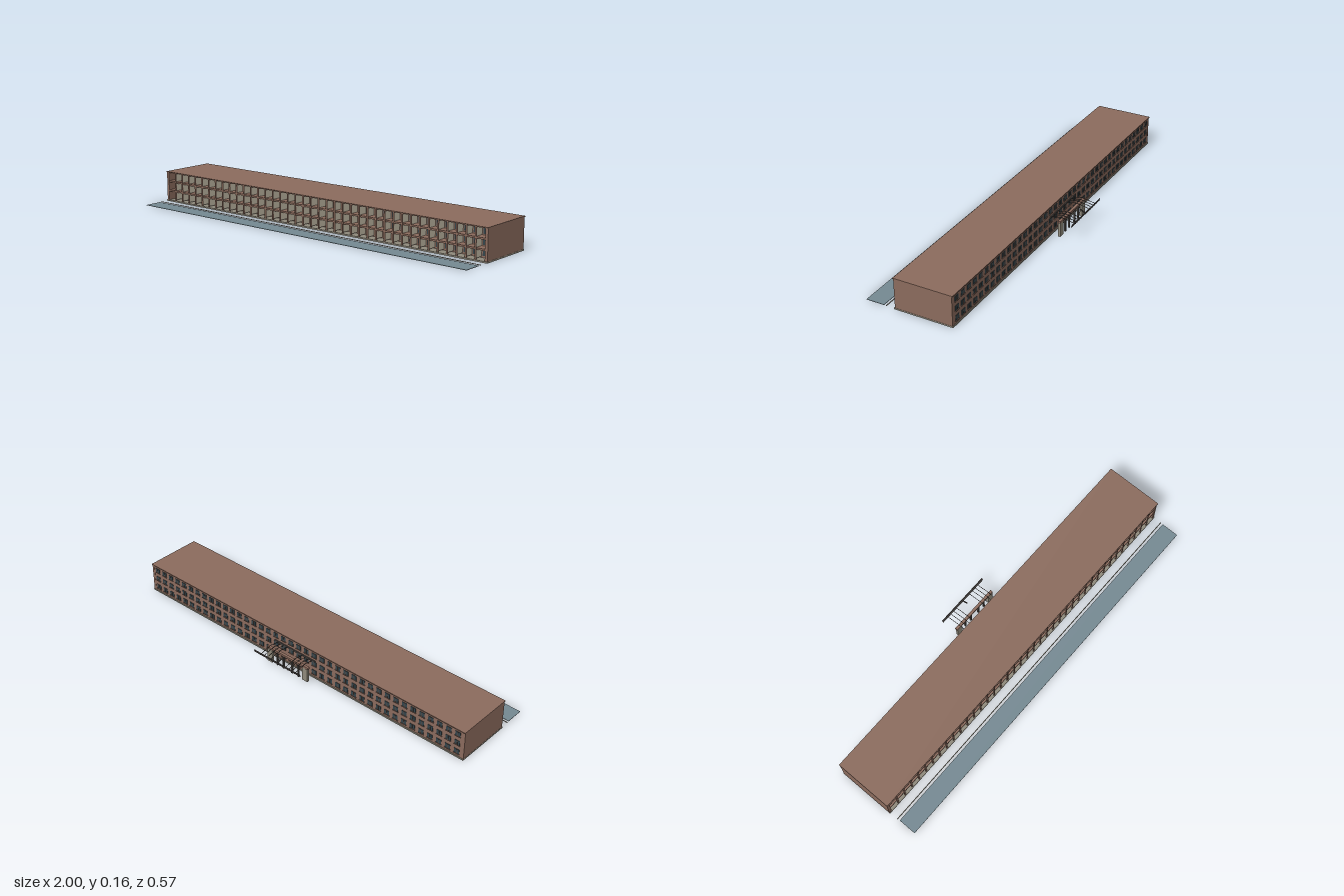
import * as THREE from 'three';
import { mergeGeometries } from 'three/addons/utils/BufferGeometryUtils.js';

const mat = (name, color) => {
  const m = new THREE.MeshStandardMaterial({ color });
  m.name = name;
  return m;
};

// box given by its min and max corners
const box = (x0, x1, y0, y1, z0, z1) =>
  new THREE.BoxGeometry(x1 - x0, y1 - y0, z1 - z0)
    .translate((x0 + x1) / 2, (y0 + y1) / 2, (z0 + z1) / 2);

// thin bar between two points in the y-z plane
const bar = (x, w, t, y0, z0, y1, z1) =>
  new THREE.BoxGeometry(w, t, Math.hypot(y1 - y0, z1 - z0))
    .rotateX(-Math.atan2(y1 - y0, z1 - z0))
    .translate(x, (y0 + y1) / 2, (z0 + z1) / 2);

export function createModel() {
  const group = new THREE.Group();
  const brick = mat('brick brown', 0x8b6b5d);
  const stone = mat('stone grey', 0x8f897b);
  const panel = mat('pale panel', 0xc2baa6);
  const glass = mat('dark glass', 0x34444a);
  const water = mat('water', 0x758992);
  const steel = mat('dark steel', 0x4b4643);
  const frame = mat('window frame', 0x5c4a42);
  const add = (name, material, geos) => {
    const m = new THREE.Mesh(geos.length > 1 ? mergeGeometries(geos) : geos[0], material);
    m.name = name;
    group.add(m);
  };

  // main volume with a recessed front
  add('plinth', stone, [box(-1, 1, 0, 0.007, -0.161, 0.137)]);
  add('body', brick, [box(-0.997, 0.997, 0.007, 0.153, -0.157, 0.085)]);
  add('roof', brick, [box(-1, 1, 0.153, 0.158, -0.162, 0.137)]);
  add('endWalls', brick, [-1, 1].map(s =>
    box(Math.min(s * 0.985, s * 0.999), Math.max(s * 0.985, s * 0.999), 0.007, 0.153, -0.158, 0.133)));

  // bays on three floors, front and back
  const bays = 40, pitch = 1.97 / bays, floorH = 0.0487;
  const fins = [], caps = [], frontGlass = [], mullions = [], backGlass = [], backFrames = [], sills = [];
  const slabs = [1, 2].map(f =>
    box(-0.985, 0.985, 0.007 + f * floorH - 0.004, 0.007 + f * floorH + 0.004, 0.085, 0.131));
  for (let i = 0; i < bays; i++) {
    const xc = -0.985 + (i + 0.5) * pitch;
    for (let f = 0; f < 3; f++) {
      const y = 0.007 + f * floorH;
      frontGlass.push(box(xc - 0.016, xc + 0.016, y + 0.009, y + 0.041, 0.085, 0.087));
      mullions.push(box(xc - 0.0015, xc + 0.0015, y + 0.009, y + 0.041, 0.086, 0.089));
      if (i > 0) fins.push(box(xc - pitch / 2 - 0.002, xc - pitch / 2 + 0.002, y + 0.005, y + 0.044, 0.085, 0.129));
      backGlass.push(box(xc - 0.014, xc + 0.014, y + 0.014, y + 0.038, -0.159, -0.156));
      backFrames.push(box(xc - 0.0015, xc + 0.0015, y + 0.014, y + 0.038, -0.1605, -0.158));
      sills.push(box(xc - 0.016, xc + 0.016, y + 0.011, y + 0.014, -0.1615, -0.157));
    }
    if (i > 0) caps.push(box(xc - pitch / 2 - 0.004, xc - pitch / 2 + 0.004, 0.007, 0.153, 0.129, 0.133));
  }
  add('floorSlabs', brick, slabs);
  add('shadeFins', panel, fins);
  add('frontPillars', brick, caps);
  add('frontWindows', glass, frontGlass);
  add('frontMullions', frame, mullions);
  add('backWindows', glass, backGlass);
  add('backMullions', frame, backFrames);
  add('backSills', brick, sills);

  // long pool and kerb before the front
  add('pool', water, [box(-0.995, 0.995, 0, 0.002, 0.193, 0.285)]);
  add('kerb', stone, [box(-0.997, 0.997, 0.001, 0.0035, 0.178, 0.182)]);

  // entrance canopy at the back
  add('canopyBeam', brick, [box(-0.133, 0.13, 0.082, 0.092, -0.214, -0.2)]);
  const piers = [], posts = [], rods = [];
  for (const s of [-1, 1]) {
    piers.push(box(s * 0.113 - 0.016, s * 0.113 + 0.016, 0.008, 0.08, -0.213, -0.201));
    for (const x of [0.028, 0.068])
      posts.push(box(s * x - 0.004, s * x + 0.004, 0.008, 0.082, -0.211, -0.203));
    for (const x of [0.048, 0.07, 0.09, 0.11]) {
      rods.push(bar(s * x, 0.002, 0.002, 0.094, -0.157, 0.103, -0.207));
      rods.push(bar(s * x, 0.002, 0.002, 0.103, -0.207, 0.088, -0.283));
    }
  }
  add('canopyPiers', stone, piers);
  add('canopyPosts', steel, posts);
  add('canopyRods', steel, rods);
  add('canopyRail', steel, [
    bar(0, 0.294, 0.003, 0.088, -0.279, 0.102, -0.284),
    bar(0, 0.005, 0.005, 0.104, -0.253, 0.089, -0.281),
    box(-0.13, 0.13, 0.094, 0.102, -0.162, -0.157),
  ]);
  return group;
}
